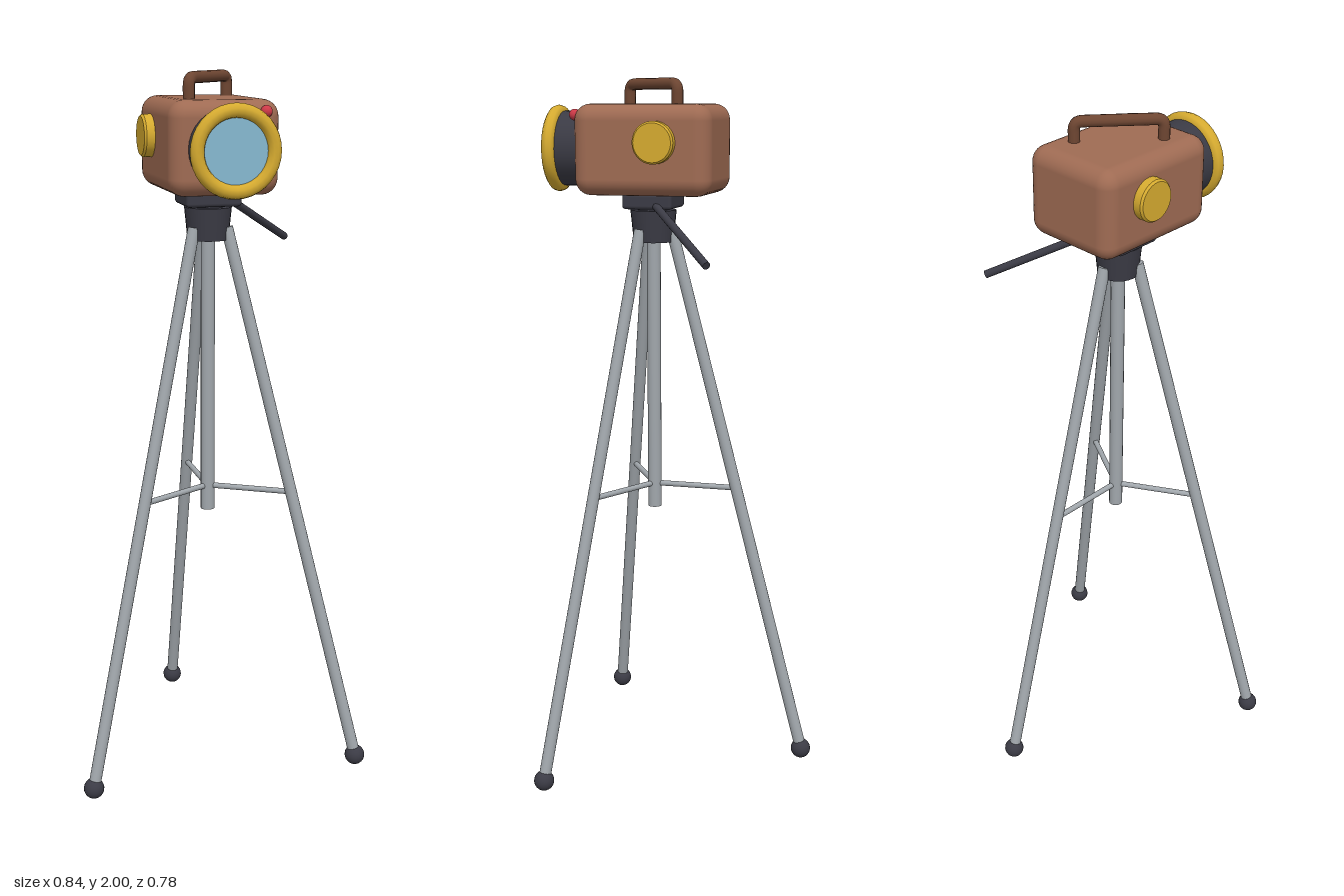
import * as THREE from 'three';
import { RoundedBoxGeometry } from 'three/addons/geometries/RoundedBoxGeometry.js';

const material = (name, color) => {
  const m = new THREE.MeshStandardMaterial({ color });
  m.name = name;
  return m;
};

export function createModel() {
  const leather = material('brown body', 0x9f6b53);
  const darkLeather = material('dark brown handle', 0x6e4632);
  const brass = material('brass', 0xd6ab30);
  const dark = material('dark metal', 0x3b3b45);
  const metal = material('grey metal', 0xa1a7ac);
  const glass = material('blue glass', 0x86b8d0);
  const red = material('red lamp', 0xcf3a48);

  const model = new THREE.Group();
  model.name = 'cameraOnTripod';
  const AXIS_Z = 0.092;
  const v = (x, y, z) => new THREE.Vector3(x, y, z);

  const add = (parent, name, geometry, mat, x = 0, y = 0, z = 0) => {
    const mesh = new THREE.Mesh(geometry, mat);
    mesh.name = name;
    mesh.position.set(x, y, z);
    parent.add(mesh);
    return mesh;
  };
  // Round rod between two points
  const rod = (parent, name, a, b, radius, mat) => {
    const dir = b.clone().sub(a);
    const mesh = add(parent, name, new THREE.CylinderGeometry(radius, radius, dir.length(), 16), mat);
    mesh.position.copy(a).lerp(b, 0.5);
    mesh.quaternion.setFromUnitVectors(v(0, 1, 0), dir.normalize());
    return mesh;
  };

  // Tripod: centre column, three legs with feet and braces
  const tripod = new THREE.Group();
  tripod.name = 'tripod';
  tripod.position.z = AXIS_Z;
  model.add(tripod);
  rod(tripod, 'centreColumn', v(0, 0.76, 0), v(0, 1.58, 0), 0.02, metal);
  for (let i = 0; i < 3; i++) {
    const leg = new THREE.Group();
    leg.name = 'legAssembly';
    leg.rotation.y = Math.PI / 2 + i * Math.PI * 2 / 3;
    tripod.add(leg);
    rod(leg, 'leg', v(0.054, 1.58, 0), v(0.453, 0.03, 0), 0.017, metal);
    rod(leg, 'brace', v(0, 0.83, 0), v(0.247, 0.83, 0), 0.008, metal);
    add(leg, 'foot', new THREE.SphereGeometry(0.029, 20, 14), dark, 0.453, 0.029, 0);
  }

  // Tripod head with mounting plate and pan arm
  add(tripod, 'headHub', new THREE.CylinderGeometry(0.066, 0.057, 0.09, 24), dark, 0, 1.59, 0);
  add(tripod, 'headNeck', new THREE.CylinderGeometry(0.045, 0.045, 0.03, 20), dark, 0, 1.64, 0);
  add(tripod, 'mountPlate', new RoundedBoxGeometry(0.156, 0.044, 0.144, 2, 0.01), dark, 0, 1.662, 0);
  rod(tripod, 'panArm', v(0.04, 1.668, 0), v(0.296, 1.513, -0.226), 0.011, dark);

  // Camera body
  const camera = new THREE.Group();
  camera.name = 'camera';
  model.add(camera);
  add(camera, 'body', new RoundedBoxGeometry(0.3, 0.25, 0.392, 4, 0.045), leather, 0, 1.805, 0.091);

  // Lens barrel, ring and glass
  const barrel = add(camera, 'lensBarrel', new THREE.CylinderGeometry(0.105, 0.105, 0.14, 32), dark, 0, 1.805, 0.295);
  barrel.rotation.x = Math.PI / 2;
  add(camera, 'lensRing', new THREE.TorusGeometry(0.103, 0.019, 10, 36), brass, 0, 1.805, 0.37);
  add(camera, 'lensGlass', new THREE.CircleGeometry(0.09, 32), glass, 0, 1.805, 0.372);

  // Side knobs with a slightly bevelled rim
  const knobProfile = [[0, 0], [0.058, 0], [0.058, 0], [0.058, 0.034], [0.058, 0.034],
    [0.053, 0.04], [0.053, 0.04], [0, 0.04]].map(([r, h]) => new THREE.Vector2(r, h));
  for (const side of [-1, 1]) {
    const knob = add(camera, 'sideKnob', new THREE.LatheGeometry(knobProfile, 28), brass, side * 0.139, 1.827, 0.047);
    knob.rotation.z = -side * Math.PI / 2;
  }

  // Carrying handle set diagonally on the top
  const half = 0.118, top = 1.984, bend = 0.022;
  const path = new THREE.CurvePath();
  path.add(new THREE.LineCurve3(v(-half, 1.91, 0), v(-half, top - bend, 0)));
  path.add(new THREE.QuadraticBezierCurve3(v(-half, top - bend, 0), v(-half, top, 0), v(-half + bend, top, 0)));
  path.add(new THREE.LineCurve3(v(-half + bend, top, 0), v(half - bend, top, 0)));
  path.add(new THREE.QuadraticBezierCurve3(v(half - bend, top, 0), v(half, top, 0), v(half, top - bend, 0)));
  path.add(new THREE.LineCurve3(v(half, top - bend, 0), v(half, 1.91, 0)));
  const handle = add(camera, 'carryHandle', new THREE.TubeGeometry(path, 60, 0.016, 12), darkLeather, 0, 0, 0.091);
  handle.rotation.y = Math.atan2(0.18, 0.153);

  // Signal lamp
  add(camera, 'signalLamp', new THREE.SphereGeometry(0.016, 16, 12), red, 0.105, 1.9, 0.288);

  return model;
}
